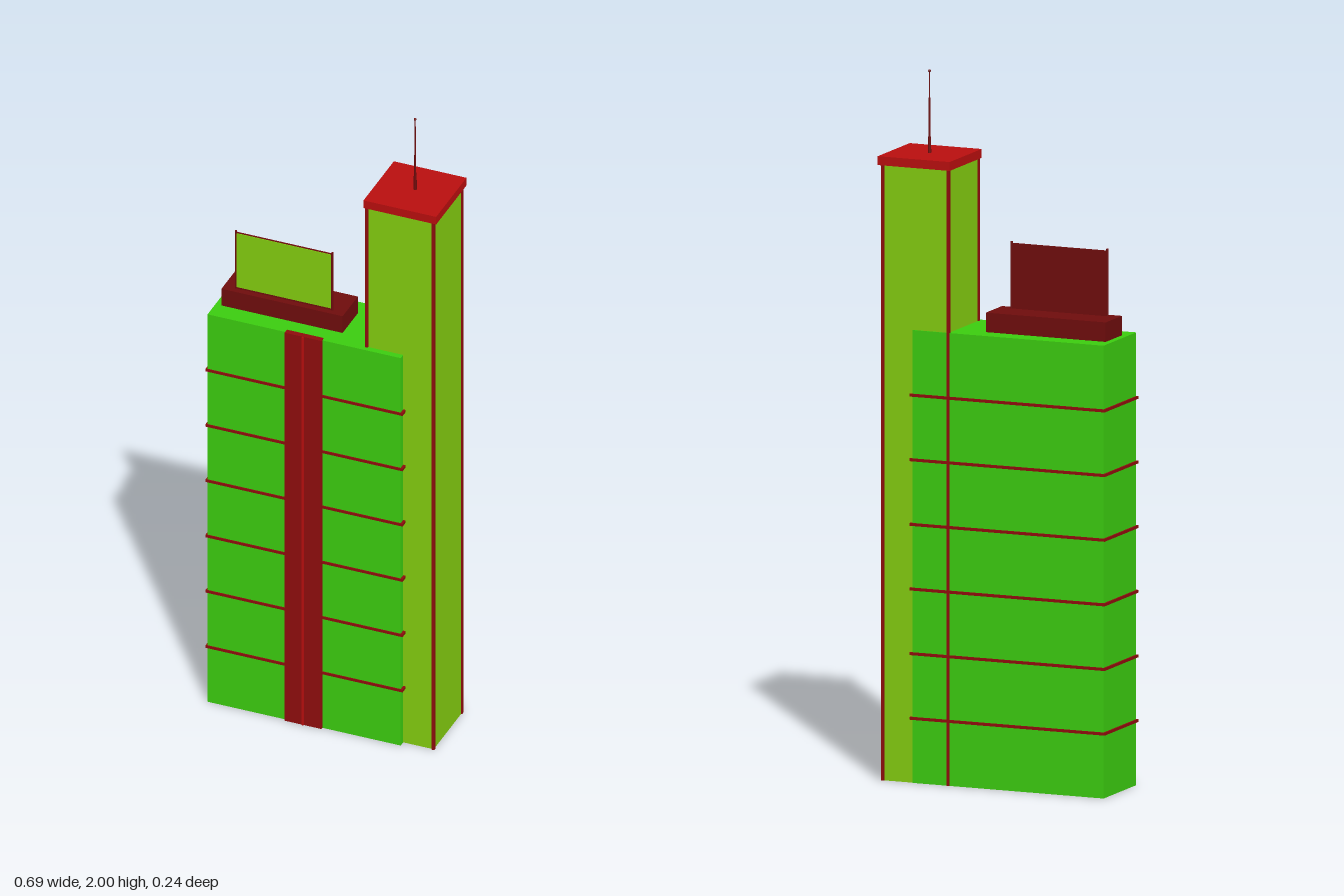
import * as THREE from 'three';

const mat = (name, color) => {
  const m = new THREE.MeshStandardMaterial({ color });
  m.name = name;
  return m;
};

export function createModel() {
  const green = mat('green wall', 0x3bcb0f);
  const olive = mat('lime wall', 0x82cb0f);
  const red = mat('bright red', 0xb80e0e);
  const trim = mat('trim red', 0x8e0c0c);
  const dark = mat('dark red', 0x6e0c0c);

  const model = new THREE.Group();
  model.name = 'building';

  // Box given by its limits on each axis
  const box = (name, material, [x0, x1], [y0, y1], [z0, z1], parent = model) => {
    const mesh = new THREE.Mesh(new THREE.BoxGeometry(x1 - x0, y1 - y0, z1 - z0), material);
    mesh.position.set((x0 + x1) / 2, (y0 + y1) / 2, (z0 + z1) / 2);
    mesh.name = name;
    parent.add(mesh);
    return mesh;
  };

  // Main block with its floor bands
  box('mainBlock', green, [-0.34, 0.242], [0, 1.28], [-0.112, 0.11]);
  for (let i = 1; i <= 6; i++) {
    const y = i * 0.1827;
    box('floorBand' + i, trim, [-0.345, 0.249], [y - 0.004, y + 0.004], [-0.116, 0.113]);
  }

  // Vertical strip on the front, with a centre rib
  box('frontStrip', trim, [-0.105, 0.006], [0, 1.282], [0.1, 0.117]);
  box('frontRib', red, [-0.052, -0.047], [0, 1.282], [0.115, 0.12]);

  // Tall tower with corner bars and cap
  const tower = new THREE.Group();
  tower.name = 'tower';
  model.add(tower);
  box('towerShaft', olive, [0.132, 0.334], [0, 1.742], [-0.109, 0.092], tower);
  for (const x of [0.133, 0.333]) {
    for (const z of [-0.109, 0.091]) {
      box('cornerBar', trim, [x - 0.004, x + 0.004], [0, 1.742], [z - 0.005, z + 0.005], tower);
    }
  }
  box('towerCap', red, [0.125, 0.344], [1.74, 1.765], [-0.12, 0.098], tower);

  // Stepped mast with a small tip
  const mast = new THREE.Group();
  mast.name = 'mast';
  mast.position.set(0.235, 0, -0.011);
  tower.add(mast);
  for (const [y0, y1, r] of [[1.765, 1.81, 0.005], [1.81, 1.92, 0.003], [1.92, 1.996, 0.0018]]) {
    const part = new THREE.Mesh(new THREE.CylinderGeometry(r * 0.8, r, y1 - y0, 10), dark);
    part.position.y = (y0 + y1) / 2;
    part.name = 'mastSection';
    mast.add(part);
  }
  const tip = new THREE.Mesh(new THREE.SphereGeometry(0.004, 10, 8), dark);
  tip.position.y = 1.996;
  tip.name = 'mastTip';
  mast.add(tip);

  // Roof box carrying a sign board
  box('roofBox', dark, [-0.322, 0.043], [1.278, 1.335], [-0.057, 0.053]);
  box('signBoard', dark, [-0.285, 0.003], [1.333, 1.52], [0.031, 0.035]);
  box('signFace', olive, [-0.283, 0.001], [1.341, 1.518], [0.034, 0.037]);
  for (const x of [-0.286, 0.005]) {
    const post = new THREE.Mesh(new THREE.CylinderGeometry(0.003, 0.003, 0.192, 10), dark);
    post.position.set(x, 1.429, 0.034);
    post.name = 'signPost';
    model.add(post);
  }

  return model;
}
